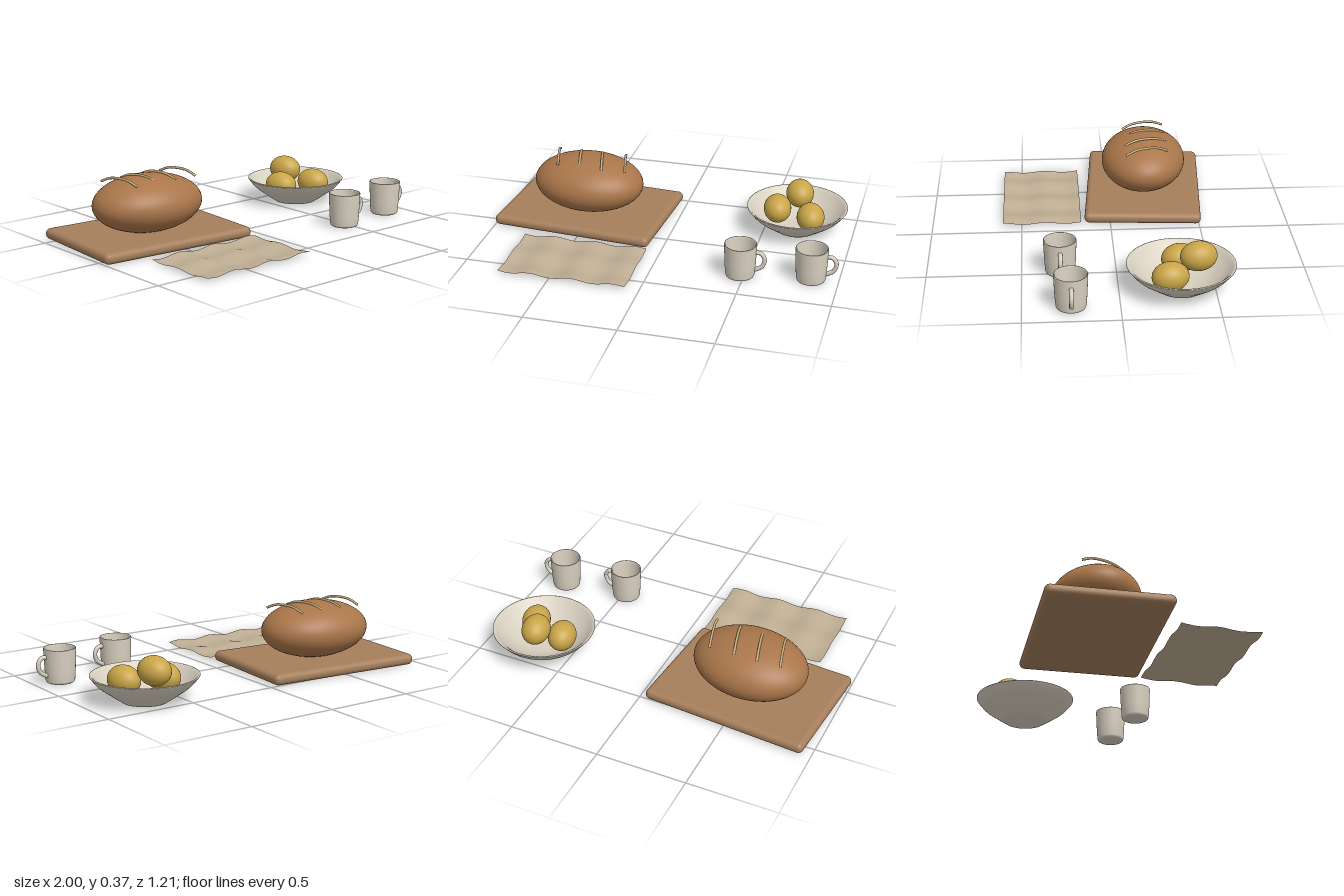
import * as THREE from 'three';
import { RoundedBoxGeometry } from 'three/addons/geometries/RoundedBoxGeometry.js';

const BASE = 0.004;
const mat = (color, side = THREE.FrontSide) => new THREE.MeshStandardMaterial({ color, side });
const pts2 = (list) => list.map(([x, y]) => new THREE.Vector2(x, y));
const pts3 = (list) => list.map((p) => new THREE.Vector3(...p));

function add(parent, name, geometry, material, x = 0, y = 0, z = 0) {
  const mesh = new THREE.Mesh(geometry, material);
  mesh.name = name;
  mesh.position.set(x, y, z);
  parent.add(mesh);
  return mesh;
}

function tube(points, radius, segments) {
  return new THREE.TubeGeometry(new THREE.CatmullRomCurve3(pts3(points)), segments, radius, 10);
}

export function createModel() {
  const root = new THREE.Group();
  root.name = 'breakfastSet';
  const wood = mat(0xa67f5c);
  const crust = mat(0xaa764a);
  const scoreMat = mat(0xc8ad80);
  const ceramic = mat(0xd8d0c0, THREE.DoubleSide);
  const fruitMat = mat(0xc9a548);
  const linen = mat(0xbfae94, THREE.DoubleSide);

  // Cutting board, slightly turned
  const board = add(root, 'cuttingBoard', new RoundedBoxGeometry(0.925, 0.06, 0.657, 5, 0.028),
    wood, -0.516, BASE + 0.03, -0.216);
  board.rotation.y = -0.076;

  // Loaf
  const loaf = add(root, 'breadLoaf', new THREE.SphereGeometry(1, 48, 32), crust, -0.52, 0.207, -0.216);
  loaf.scale.set(0.319, 0.157, 0.242);
  loaf.rotation.y = -0.076;

  // Arched score marks across the loaf
  const scoreGeo = tube([[0, -0.03, -0.125], [0, -0.006, -0.065], [0, 0, 0], [0, -0.006, 0.065], [0, -0.03, 0.125]], 0.007, 24);
  [-0.7, -0.571, -0.442, -0.304].forEach((x, i) => {
    const score = add(root, `breadScore${i + 1}`, scoreGeo, scoreMat, x, 0.364, -0.222);
    score.rotation.y = 0.25;
  });

  // Rippled cloth
  const clothGeo = new THREE.PlaneGeometry(0.707, 0.44, 60, 40).rotateX(-Math.PI / 2);
  const p = clothGeo.attributes.position;
  for (let i = 0; i < p.count; i++) {
    p.setY(i, 0.007 * Math.sin(27 * p.getX(i)) + 0.005 * Math.cos(27 * (p.getZ(i) - 0.215)));
  }
  clothGeo.computeVertexNormals();
  add(root, 'clothNapkin', clothGeo, linen, -0.43, 0.016, 0.385);

  // Fruit bowl
  const bowl = new THREE.Group();
  bowl.name = 'fruitBowl';
  bowl.position.set(0.677, BASE, -0.323);
  root.add(bowl);
  const wall = new THREE.CatmullRomCurve3(pts3([[0.12, 0, 0], [0.185, 0.045, 0], [0.245, 0.09, 0], [0.284, 0.136, 0]]))
    .getPoints(16).map((v) => [v.x, v.y]);
  const lining = new THREE.CatmullRomCurve3(pts3([[0.27, 0.136, 0], [0.23, 0.094, 0], [0.165, 0.046, 0], [0.09, 0.018, 0], [0, 0.014, 0]]))
    .getPoints(16).map((v) => [v.x, v.y]);
  add(bowl, 'bowlShell', new THREE.LatheGeometry(
    pts2([[0, 0], [0.1, 0], ...wall, [0.284, 0.14], [0.278, 0.142], ...lining]), 64), ceramic);

  // Oval fruit piled in the bowl
  const fruitGeo = new THREE.SphereGeometry(1, 32, 24);
  [[0.563, 0.113, -0.326], [0.675, 0.181, -0.412], [0.763, 0.113, -0.26]].forEach(([x, y, z], i) => {
    const fruit = add(root, `fruit${i + 1}`, fruitGeo, fruitMat, x, y, z);
    fruit.scale.set(0.078, 0.078, 0.098);
    fruit.rotation.y = 0.2;
  });

  // Two mugs with ear-shaped handles
  const cupGeo = new THREE.LatheGeometry(pts2([
    [0, 0], [0.068, 0], [0.075, 0.004], [0.079, 0.014], [0.083, 0.07], [0.088, 0.186], [0.087, 0.19],
    [0.083, 0.19], [0.08, 0.184], [0.074, 0.05], [0.07, 0.02], [0.062, 0.014], [0, 0.012]]), 40);
  const handleGeo = tube([[0.08, 0.146, 0], [0.112, 0.144, 0], [0.132, 0.11, 0], [0.118, 0.068, 0], [0.078, 0.043, 0]], 0.012, 28);
  [[0.477, 0.296], [0.852, 0.25]].forEach(([x, z], i) => {
    const mug = new THREE.Group();
    mug.name = `mug${i + 1}`;
    mug.position.set(x, BASE, z);
    add(mug, 'mugBody', cupGeo, ceramic);
    add(mug, 'mugHandle', handleGeo, ceramic);
    root.add(mug);
  });

  return root;
}
